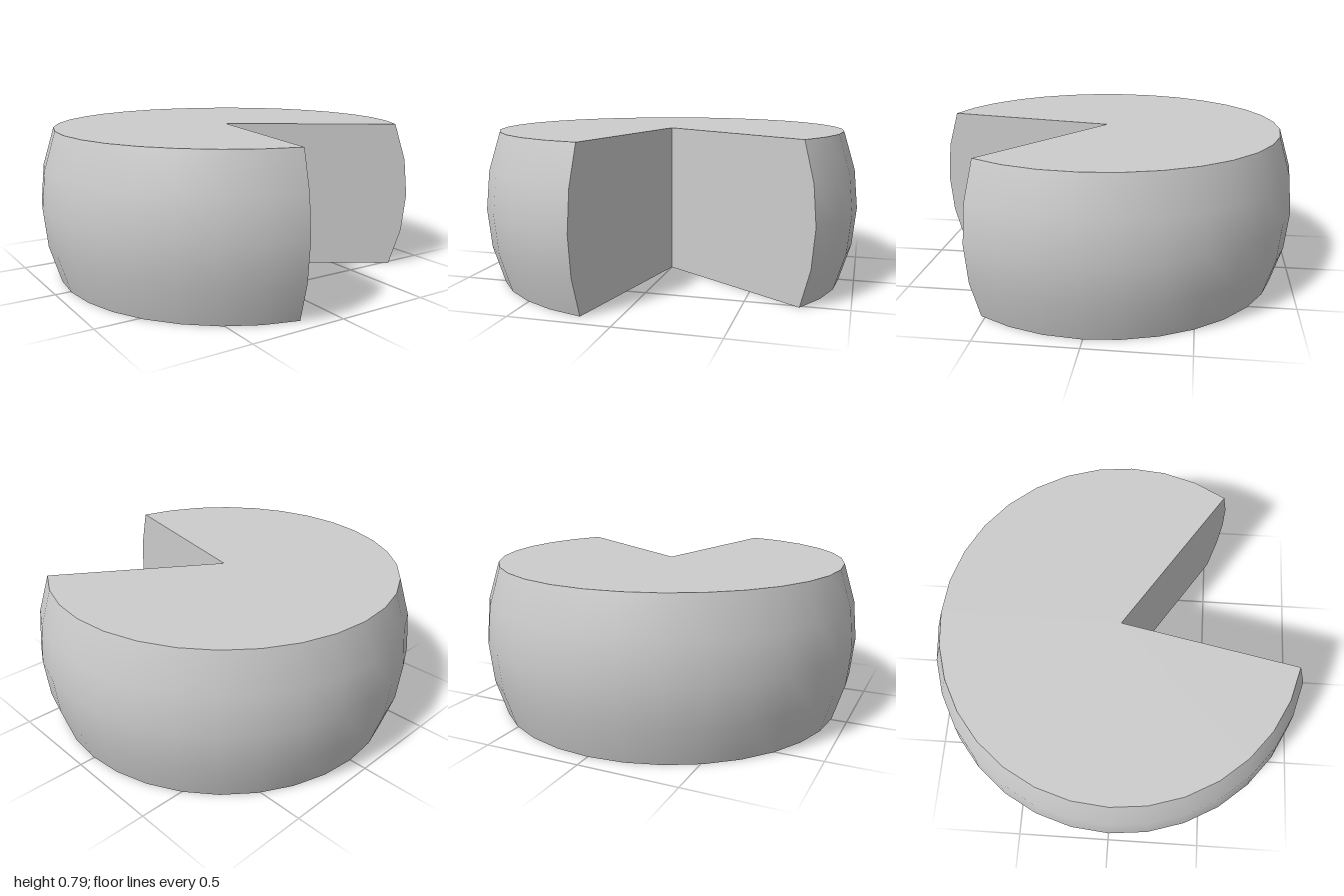
import * as THREE from 'three';

const HEIGHT = 0.79;
const SEGMENTS = 26;
const STEP = Math.PI / 16; // 32 sides to a full turn, 6 of them cut away
const START = 5 * STEP;
const LENGTH = SEGMENTS * STEP;
const END = START + LENGTH;

// Bulging rim, from bottom to top
const profile = [[0.92, 0], [0.98, 0.195], [1, 0.395], [0.98, 0.595], [0.92, HEIGHT]]
  .map(([x, y]) => new THREE.Vector2(x, y));

export function createModel() {
  const group = new THREE.Group();
  group.name = 'cutWheel';
  const material = new THREE.MeshStandardMaterial({ color: 0xcccccc });
  const add = (name, geometry) => {
    const mesh = new THREE.Mesh(geometry, material);
    mesh.name = name;
    mesh.position.z = 0.01;
    group.add(mesh);
    return mesh;
  };

  // Smooth outer rind
  add('rind', new THREE.LatheGeometry(profile, SEGMENTS, START, LENGTH));

  // Flat top and bottom
  const radius = profile[0].x;
  const top = new THREE.CircleGeometry(radius, SEGMENTS, START - Math.PI / 2, LENGTH);
  add('topFace', top.rotateX(-Math.PI / 2)).position.y = HEIGHT;
  const bottom = new THREE.CircleGeometry(radius, SEGMENTS, Math.PI / 2 - END, LENGTH);
  add('bottomFace', bottom.rotateX(Math.PI / 2));

  // Two walls of the wedge cut; side = -1 mirrors the section to face the notch
  const cutWall = (name, angle, side) => {
    const points = [new THREE.Vector2(0, 0), ...profile, new THREE.Vector2(0, HEIGHT)];
    const shape = new THREE.Shape(points.map((p) => new THREE.Vector2(side * p.x, p.y)));
    add(name, new THREE.ShapeGeometry(shape).rotateY(angle - side * Math.PI / 2));
  };
  cutWall('leftCutWall', START, 1);
  cutWall('rightCutWall', END, -1);

  return group;
}
